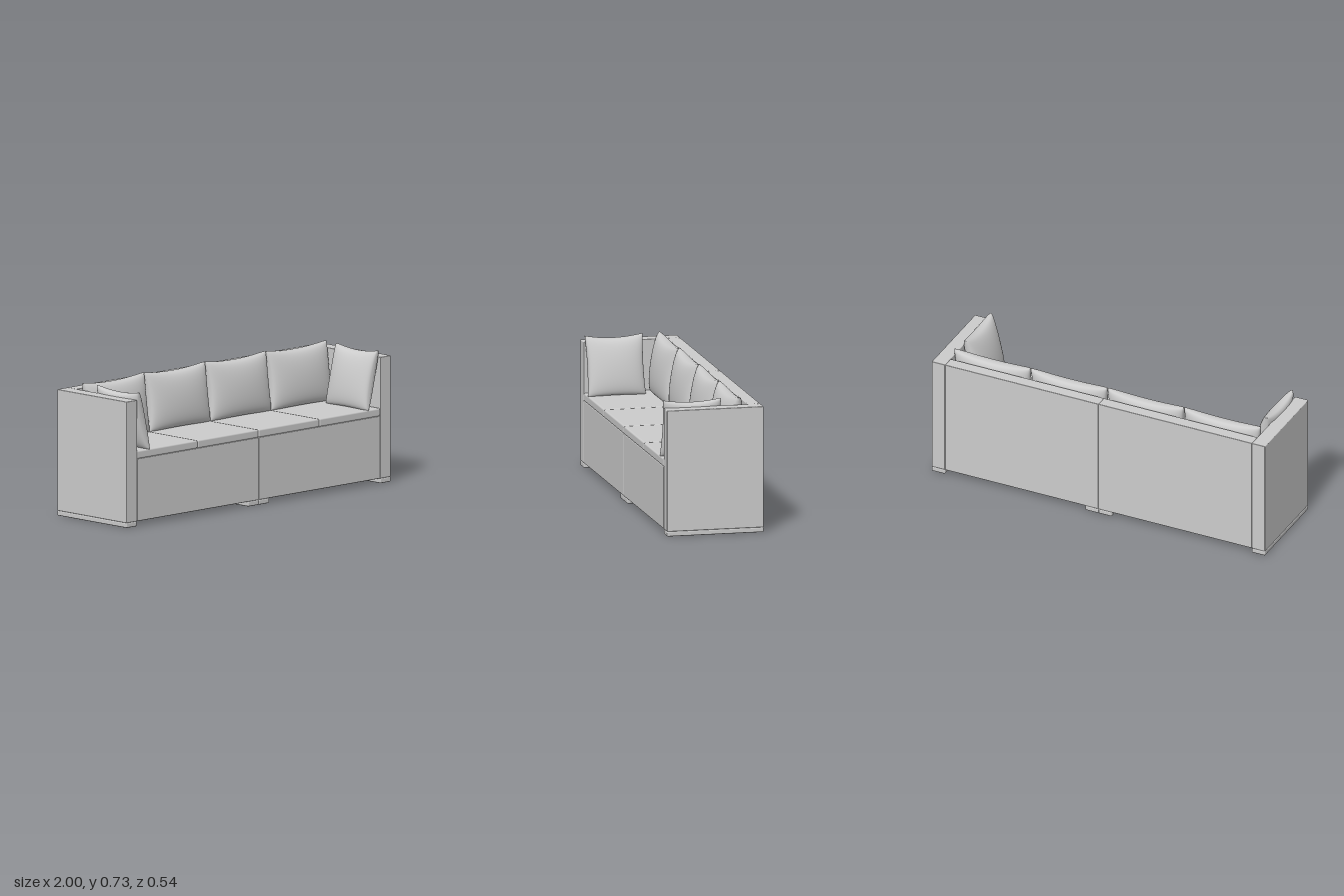
import * as THREE from 'three';
import { RoundedBoxGeometry } from 'three/addons/geometries/RoundedBoxGeometry.js';
import { mergeGeometries } from 'three/addons/utils/BufferGeometryUtils.js';

// Plump cushion with pinched corners; thickness along z, leaning by `lean` from middle to top
function cushionGeometry(halfW, halfH, halfT, lean) {
  const sheet = () => {
    const g = new THREE.PlaneGeometry(2, 2, 28, 28);
    const p = g.attributes.position;
    for (let i = 0; i < p.count; i++) {
      // points crowd towards the seam so that the rim stays round
      const u = Math.sin(p.getX(i) * Math.PI / 2);
      const v = Math.sin(p.getY(i) * Math.PI / 2);
      const sag = v > 0 ? 0.11 : 0.03;
      const x = u * halfW * (1 - 0.05 * (1 - v * v));
      const y = v * halfH * (1 - sag * (1 - u * u));
      const z = halfT * Math.pow(Math.max(0, (1 - u * u) * (1 - v * v)), 0.33);
      p.setXYZ(i, x, y, z);
    }
    return g;
  };
  const sheets = [sheet(), sheet().rotateY(Math.PI)];
  for (const g of sheets) {
    const p = g.attributes.position;
    for (let i = 0; i < p.count; i++) p.setZ(i, p.getZ(i) + lean * p.getY(i) / halfH);
    g.computeVertexNormals();
  }
  return mergeGeometries(sheets);
}

export function createModel() {
  const sofa = new THREE.Group();
  sofa.name = 'sofa';
  const fabric = new THREE.MeshStandardMaterial({ color: 0xcccccc });
  fabric.name = 'light grey fabric';

  const add = (name, geometry) => {
    const mesh = new THREE.Mesh(geometry, fabric);
    mesh.name = name;
    sofa.add(mesh);
    return mesh;
  };
  // Softened box given by its minimum and maximum corners
  const box = (name, [x0, y0, z0], [x1, y1, z1], radius = 0.004) =>
    add(name, new RoundedBoxGeometry(x1 - x0, y1 - y0, z1 - z0, 3, radius))
      .position.set((x0 + x1) / 2, (y0 + y1) / 2, (z0 + z1) / 2);
  // Same box on either side of the sofa
  const pair = (name, [x0, y0, z0], [x1, y1, z1], radius) => {
    box('left' + name, [x0, y0, z0], [x1, y1, z1], radius);
    box('right' + name, [-x1, y0, z0], [-x0, y1, z1], radius);
  };

  // Frame: arms, back panels and seat bases
  pair('Arm', [0.92, 0.027, -0.268], [1, 0.692, 0.268]);
  pair('Back', [0, 0.027, -0.268], [0.92, 0.692, -0.198]);
  pair('Base', [0, 0.027, -0.2], [0.92, 0.37, 0.268]);

  // Runner feet under the arms and at the middle joint
  pair('OuterFoot', [0.92, 0, -0.268], [1, 0.027, 0.268], 0.006);
  pair('InnerFoot', [0, 0, -0.268], [0.08, 0.027, 0.268], 0.006);

  // Four seat pads and four back cushions
  for (let i = 0; i < 4; i++) {
    const x = -0.92 + i * 0.46;
    box('seatPad' + (i + 1), [x, 0.368, -0.2], [x + 0.46, 0.413, 0.268], 0.009);
    add('backCushion' + (i + 1), cushionGeometry(0.23, 0.161, 0.06, -0.022))
      .position.set(x + 0.23, 0.57, -0.13);
  }

  // Loose cushions leaning on the arms
  for (const side of [1, -1]) {
    const pillow = add(side > 0 ? 'leftPillow' : 'rightPillow', cushionGeometry(0.161, 0.161, 0.055, -0.038));
    pillow.rotation.y = -side * Math.PI / 2;
    pillow.position.set(side * 0.866, 0.57, 0.106);
  }
  return sofa;
}
